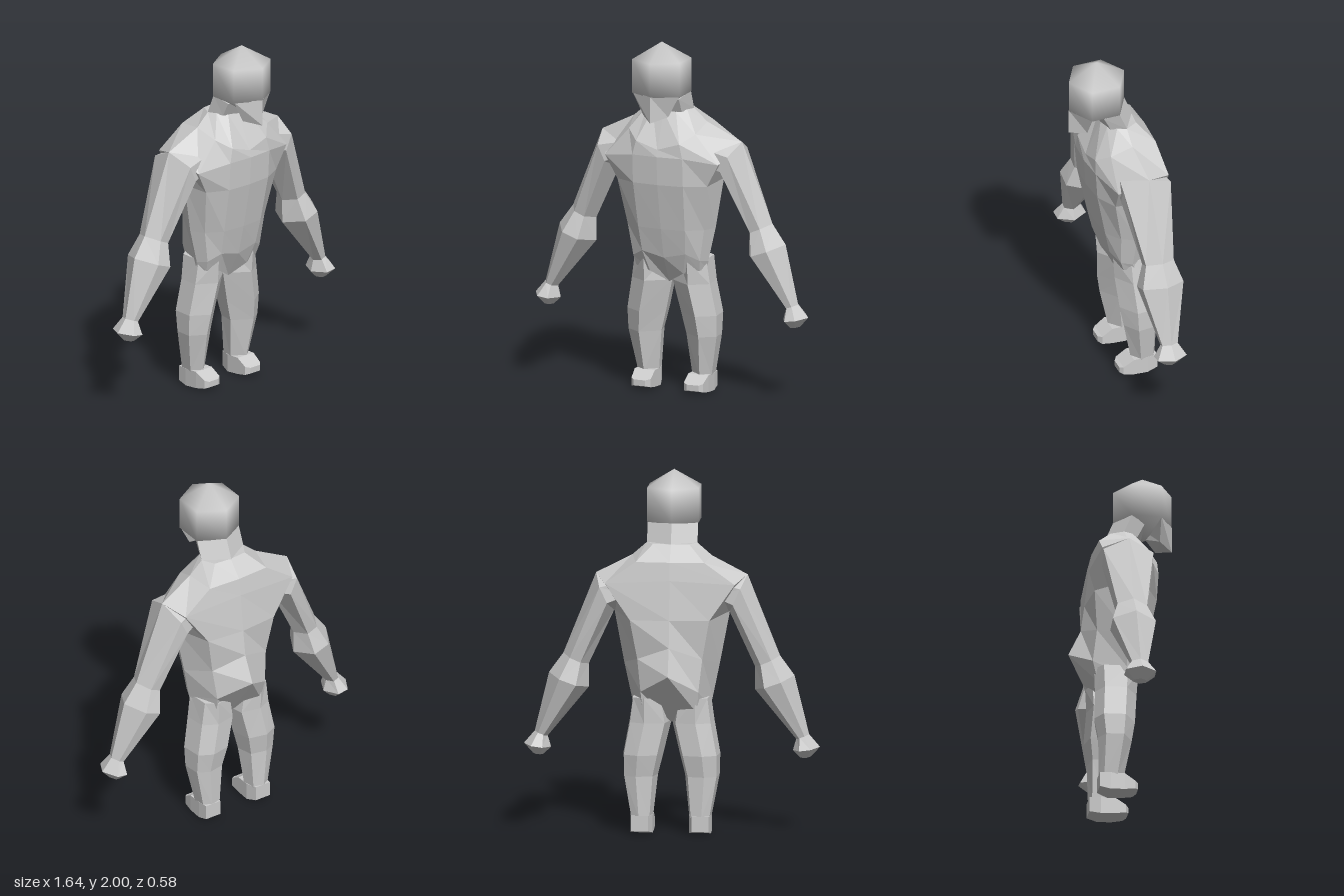
import * as THREE from 'three';

const flat = new THREE.MeshStandardMaterial({ color: 0xcccccc, flatShading: true, side: THREE.DoubleSide });
const smooth = new THREE.MeshStandardMaterial({ color: 0xcccccc });

// Skin closed rings of points, cap both ends and turn all faces outward.
function loft(name, rings) {
  const tris = [], n = rings[0].length;
  for (let r = 0; r < rings.length - 1; r++) {
    for (let i = 0; i < n; i++) {
      const j = (i + 1) % n, a = rings[r], b = rings[r + 1];
      tris.push([a[i], a[j], b[j]], [a[i], b[j], b[i]]);
    }
  }
  const cap = (ring, flip) => {
    const c = [0, 1, 2].map(k => ring.reduce((s, p) => s + p[k], 0) / n);
    ring.forEach((p, i) => {
      const q = ring[(i + 1) % n];
      tris.push(flip ? [c, q, p] : [c, p, q]);
    });
  };
  cap(rings[0], true);
  cap(rings[rings.length - 1], false);
  const volume = tris.reduce((s, [a, b, c]) => s +
    new THREE.Vector3(...a).dot(new THREE.Vector3(...b).cross(new THREE.Vector3(...c))), 0);
  if (volume < 0) tris.forEach(t => t.reverse());
  const geo = new THREE.BufferGeometry();
  geo.setAttribute('position', new THREE.Float32BufferAttribute(tris.flat(2), 3));
  geo.computeVertexNormals();
  const mesh = new THREE.Mesh(geo, flat);
  mesh.name = name;
  return mesh;
}

const mirrorX = ([x, y, z]) => [-x, y, z];
// Complete a half ring running from front centre to back centre.
const fullRing = half => [...half, ...half.slice(1, -1).reverse().map(mirrorX)];
const mirrorRings = (rings, side) => side > 0 ? rings : rings.map(r => r.map(mirrorX));
const mix = THREE.MathUtils.lerp;

// Arm section from outer and inner edge points and its front and back depth.
function armRing([ox, oy, ix, iy, zf, zb]) {
  const at = (t, z) => [mix(ox, ix, t), mix(oy, iy, t), z];
  const mid = (zf + zb) / 2;
  return [at(0, mid), at(0.3, zf), at(0.72, zf), at(1, mid), at(0.72, zb), at(0.3, zb)];
}

// Leg section from height, inner and outer x, front and back z.
function legRing([y, xi, xo, zf, zb]) {
  const at = (u, v) => [mix(xi, xo, u), y, mix(zb, zf, v)];
  return [at(0.55, 1), at(1, 0.7), at(0.95, 0.18), at(0.6, 0), at(0.12, 0.1), at(0, 0.6)];
}

export function createModel() {
  const model = new THREE.Group();

  // Torso: half rings from the neck base down to the crotch
  model.add(loft('torso', [
    [[0, 1.6, 0.1], [0.07, 1.6, 0.09], [0.12, 1.61, 0.05], [0.14, 1.61, 0], [0.1, 1.61, -0.07], [0, 1.61, -0.08]],
    [[0, 1.4, 0.19], [0.13, 1.44, 0.185], [0.2, 1.49, 0.12], [0.22, 1.54, 0], [0.19, 1.52, -0.15], [0, 1.52, -0.16]],
    [[0, 1.36, 0.2], [0.15, 1.36, 0.19], [0.34, 1.33, 0.13], [0.42, 1.44, -0.02], [0.36, 1.4, -0.16], [0, 1.42, -0.175]],
    [[0, 1.2, 0.19], [0.15, 1.2, 0.18], [0.27, 1.2, 0.12], [0.32, 1.23, 0], [0.22, 1.2, -0.18], [0, 1.2, -0.2]],
    [[0, 0.94, 0.14], [0.14, 0.94, 0.13], [0.23, 0.94, 0.07], [0.265, 0.94, -0.01], [0.18, 0.98, -0.16], [0, 1.05, -0.22]],
    [[0, 0.77, 0.1], [0.13, 0.8, 0.1], [0.2, 0.76, 0.06], [0.225, 0.75, 0], [0.16, 0.8, -0.18], [0, 0.9, -0.29]],
    [[0, 0.62, 0.02], [0.1, 0.68, 0.06], [0.19, 0.7, 0.04], [0.215, 0.7, -0.02], [0.15, 0.68, -0.15], [0, 0.62, -0.08]],
  ].map(fullRing)));

  // Neck leaning forward into the head
  model.add(loft('neck', [
    [[0, 1.65, 0.13], [0.1, 1.68, 0.12], [0.14, 1.72, 0.045], [0, 1.72, -0.04]],
    [[0, 1.59, 0.1], [0.1, 1.6, 0.08], [0.14, 1.61, 0], [0, 1.61, -0.085]],
  ].map(fullRing)));

  // Head: six-sided smooth ball with a point to the front
  const head = new THREE.Mesh(new THREE.SphereGeometry(0.19, 6, 3), smooth);
  head.name = 'head';
  head.rotation.y = Math.PI / 2;
  head.position.set(0, 1.81, 0.125);
  model.add(head);

  // Jaw hanging below the front of the head
  model.add(loft('jaw', [
    [[0, 1.72, 0.29], [0.14, 1.72, 0.208], [0, 1.69, 0.13]],
    [[0, 1.57, 0.29], [0.075, 1.595, 0.21], [0, 1.635, 0.14]],
  ].map(fullRing)));

  for (const side of [1, -1]) {
    const label = side > 0 ? 'left' : 'right';

    // Arm with a thick elbow, narrow wrist and pointed fist
    model.add(loft(label + 'Arm', mirrorRings([
      [0.25, 1.46, 0.22, 1.28, 0.1, -0.12],
      [0.42, 1.44, 0.32, 1.23, 0.12, -0.16],
      [0.6, 0.99, 0.46, 0.93, 0.055, -0.11],
      [0.68, 0.88, 0.46, 0.8, 0.095, -0.145],
      [0.76, 0.55, 0.69, 0.52, 0.03, -0.06],
    ].map(armRing), side)));
    model.add(loft(label + 'Hand', mirrorRings([
      [0.76, 0.55, 0.69, 0.53, 0.03, -0.06],
      [0.82, 0.48, 0.67, 0.46, 0.07, -0.1],
      [0.77, 0.425, 0.71, 0.42, 0.02, -0.05],
    ].map(armRing), side)));

    // Leg
    model.add(loft(label + 'Leg', mirrorRings([
      [0.76, 0.03, 0.215, 0.08, -0.17],
      [0.62, 0.002, 0.235, 0.07, -0.165],
      [0.44, 0.045, 0.268, 0.055, -0.175],
      [0.32, 0.075, 0.265, 0.035, -0.155],
      [0.09, 0.1, 0.222, -0.01, -0.15],
    ].map(legRing), side)));

    // Foot: upright sections from heel to toe
    model.add(loft(label + 'Foot', mirrorRings([
      [-0.15, 0.12, 0.215, 0.015, 0.1],
      [-0.09, 0.1, 0.222, 0, 0.1],
      [-0.01, 0.1, 0.222, 0.005, 0.1],
      [0.05, 0.1, 0.215, 0.015, 0.062],
      [0.068, 0.125, 0.195, 0.022, 0.055],
    ].map(([z, x0, x1, y0, y1]) => [[x0, y0, z], [x1, y0, z], [x1, y1, z], [x0, y1, z]]), side)));
  }
  return model;
}
